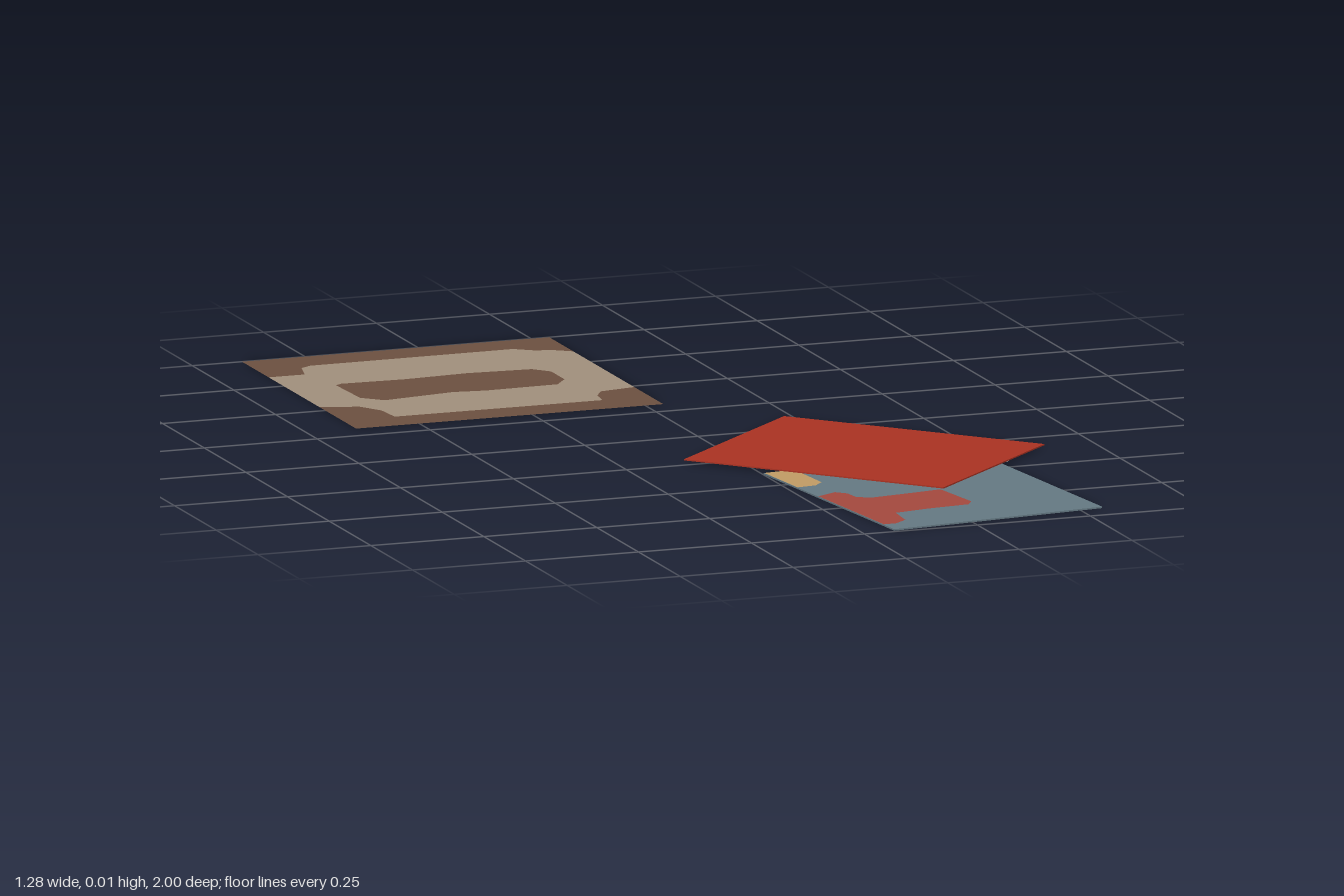
import * as THREE from 'three';

const mat = (name, color, side = THREE.FrontSide) => {
  const m = new THREE.MeshStandardMaterial({ color, side });
  m.name = name;
  return m;
};

// Shape on the ground from [x, z] points
function outline(points) {
  return new THREE.Shape(points.map(([x, z]) => new THREE.Vector2(x, -z)));
}

function addMesh(group, name, geometry, material, y) {
  geometry.rotateX(-Math.PI / 2);
  const mesh = new THREE.Mesh(geometry, material);
  mesh.name = name;
  mesh.position.y = y;
  group.add(mesh);
}

// Flat sheet without thickness
function sheet(group, name, points, material, y, hole) {
  const shape = outline(points);
  if (hole) shape.holes.push(outline(hole));
  addMesh(group, name, new THREE.ShapeGeometry(shape), material, y);
}

// Thin solid board
function board(group, name, points, material, y, height) {
  const geometry = new THREE.ExtrudeGeometry(outline(points), { depth: height, bevelEnabled: false });
  addMesh(group, name, geometry, material, y);
}

export function createModel() {
  const model = new THREE.Group();
  const D = THREE.DoubleSide;
  const brown = mat('brown', 0x6c5040, D);
  const tan = mat('tan', 0xa08f7c, D);
  const red = mat('red', 0xaa3222);
  const blue = mat('slate blue', 0x647882);
  const faded = mat('faded red', 0xa3483e, D);
  const gold = mat('gold', 0xc09b64, D);
  const pale = mat('pale grey', 0xc8c4bc, D);

  // Square mat: tan field between two brown bands, brown patch in the middle
  const matGroup = new THREE.Group();
  matGroup.name = 'patternedMat';
  const back = [
    [-0.64, -0.84], [-0.56, -0.84], [-0.545, -0.9], [-0.52, -0.915],
    [-0.07, -0.92], [-0.03, -0.89], [0, -0.885], [0.04, -0.855],
  ];
  const front = [
    [0.04, -0.49], [-0.04, -0.475], [-0.06, -0.44], [-0.065, -0.395],
    [-0.525, -0.395], [-0.53, -0.46], [-0.56, -0.51], [-0.64, -0.535],
  ];
  const patch = [
    [-0.535, -0.72], [-0.52, -0.73], [-0.38, -0.725], [-0.24, -0.735], [-0.1, -0.725], [-0.07, -0.69],
    [-0.07, -0.61], [-0.1, -0.57], [-0.26, -0.565], [-0.33, -0.575], [-0.49, -0.55], [-0.53, -0.59],
  ];
  sheet(matGroup, 'tanField', [...back, ...front], tan, 0, patch);
  sheet(matGroup, 'middlePatch', patch, brown, 0);
  sheet(matGroup, 'backBand', [...back, [0.04, -1], [-0.64, -1]], brown, 0);
  sheet(matGroup, 'frontBand', [...front, [-0.64, -0.315], [0.04, -0.315]], brown, 0);
  model.add(matGroup);

  // Blue board with painted patches on top and a spot underneath
  const blueBoard = new THREE.Group();
  blueBoard.name = 'blueBoard';
  board(blueBoard, 'bluePanel', [[0, 0.395], [0.068, 0.995], [0.548, 0.94], [0.48, 0.34]], blue, 0.0005, 0.0033);
  sheet(blueBoard, 'redPatch', [
    [0.029, 0.645], [0.075, 0.62], [0.095, 0.64], [0.1, 0.68], [0.13, 0.695], [0.2, 0.685], [0.29, 0.67],
    [0.31, 0.8], [0.295, 0.825], [0.2, 0.835], [0.125, 0.85], [0.12, 0.92], [0.09, 0.945], [0.063, 0.945],
  ], faded, 0.0043);
  sheet(blueBoard, 'goldPatch', [
    [0.001, 0.396], [0.07, 0.388], [0.082, 0.52], [0.06, 0.545], [0.018, 0.55],
  ], gold, 0.0043);
  const spot = Array.from({ length: 16 }, (_, i) => {
    const a = (i / 16) * Math.PI * 2;
    return [0.4 + 0.036 * Math.cos(a), 0.83 + 0.036 * Math.sin(a)];
  });
  sheet(blueBoard, 'undersideSpot', spot, faded, 0);
  model.add(blueBoard);

  // Red board lying across the blue one, with a pale strip underneath
  const redBoard = new THREE.Group();
  redBoard.name = 'redBoard';
  const a = [0.223, -0.087], b = [0.637, 0.352], c = [0.297, 0.67], d = [-0.115, 0.23];
  const mix = (p, q, t) => [p[0] + (q[0] - p[0]) * t, p[1] + (q[1] - p[1]) * t];
  board(redBoard, 'redPanel', [a, b, c, d], red, 0.0052, 0.0028);
  sheet(redBoard, 'undersideStrip', [
    mix(a, d, 0.345), mix(b, c, 0.345), mix(b, c, 0.385), mix(a, d, 0.385),
  ], pale, 0.0047);
  model.add(redBoard);

  return model;
}
